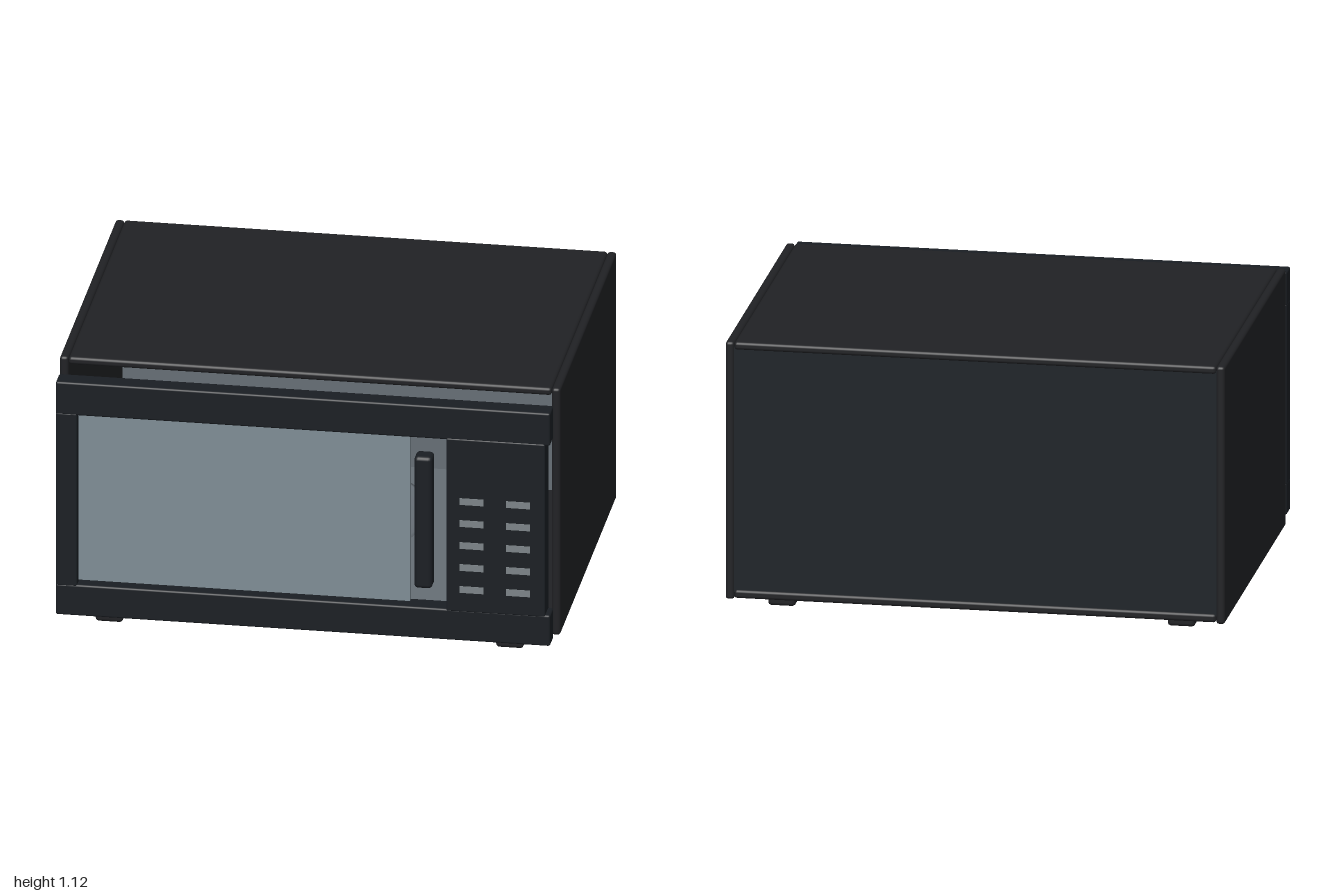
import * as THREE from 'three';
import { RoundedBoxGeometry } from 'three/addons/geometries/RoundedBoxGeometry.js';

const paint = (color) => new THREE.MeshStandardMaterial({ color });

export function createModel() {
  const model = new THREE.Group();
  const casing = paint(0x202124);
  const trim = paint(0x1a1e23);
  const rear = paint(0x1c2227);
  const lining = paint(0x666e75);
  const glass = paint(0x7f8d95);
  const keys = paint(0x7d8488);

  // Box given by its limits on each axis, with optional rounded edges
  function block(parent, name, material, [x0, x1], [y0, y1], [z0, z1], radius = 0) {
    const size = [x1 - x0, y1 - y0, z1 - z0];
    const geometry = radius
      ? new RoundedBoxGeometry(...size, 2, radius)
      : new THREE.BoxGeometry(...size);
    const mesh = new THREE.Mesh(geometry, material);
    mesh.name = name;
    mesh.position.set((x0 + x1) / 2, (y0 + y1) / 2, (z0 + z1) / 2);
    parent.add(mesh);
    return mesh;
  }

  // Casing, open at the front
  const cabinet = new THREE.Group();
  cabinet.name = 'cabinet';
  model.add(cabinet);
  const depth = [-0.77, 0.61];
  block(cabinet, 'rightSidePanel', casing, [-1, -0.965], [0.06, 1.12], depth, 0.012);
  block(cabinet, 'leftSidePanel', casing, [0.965, 1], [0.06, 1.12], depth, 0.012);
  block(cabinet, 'topPanel', casing, [-0.965, 0.965], [1.088, 1.12], depth, 0.012);
  block(cabinet, 'bottomPanel', casing, [-0.965, 0.965], [0.065, 0.1], depth, 0.012);
  block(cabinet, 'backPanel', rear, [-0.967, 0.967], [0.09, 1.1], [-0.762, -0.735]);

  // Cooking chamber
  const chamber = new THREE.Group();
  chamber.name = 'chamber';
  model.add(chamber);
  block(chamber, 'chamberBack', lining, [-0.965, 0.965], [0.1, 1.088], [-0.735, -0.715]);
  block(chamber, 'chamberFloor', lining, [-0.965, 0.57], [0.1, 0.16], [-0.715, 0.58]);
  const plateProfile = [[0, 0.185], [0.42, 0.185], [0.5, 0.205], [0.51, 0.215], [0.495, 0.217], [0.42, 0.2], [0, 0.2]]
    .map(([r, y]) => new THREE.Vector2(r, y));
  const turntable = new THREE.Mesh(new THREE.LatheGeometry(plateProfile, 48), lining);
  turntable.name = 'turntable';
  turntable.position.set(-0.15, 0, -0.1);
  chamber.add(turntable);
  const hub = new THREE.Mesh(new THREE.CylinderGeometry(0.08, 0.08, 0.03, 24), trim);
  hub.name = 'turntableHub';
  hub.position.set(-0.15, 0.172, -0.1);
  chamber.add(hub);

  // Door frame standing clear of the casing
  const door = new THREE.Group();
  door.name = 'door';
  model.add(door);
  const frameZ = [0.683, 0.768];
  block(door, 'doorTopRail', trim, [-0.99, 0.985], [0.94, 1.08], frameZ, 0.008);
  block(door, 'doorBottomRail', trim, [-0.99, 0.985], [0.08, 0.212], frameZ, 0.008);
  block(door, 'doorStile', trim, [-0.99, -0.905], [0.205, 0.947], frameZ, 0.006);
  block(door, 'controlPanel', trim, [0.57, 0.965], [0.205, 0.947], [0.681, 0.77], 0.006);
  block(door, 'window', glass, [-0.905, 0.42], [0.222, 0.935], [0.71, 0.735]);
  block(door, 'handle', trim, [0.442, 0.514], [0.295, 0.86], [0.7, 0.776], 0.016);

  // Two columns of keys
  for (const x of [0.672, 0.858]) {
    for (let row = 0; row < 5; row++) {
      const y = 0.302 + row * 0.0945;
      block(door, 'key', keys, [x - 0.048, x + 0.048], [y - 0.014, y + 0.014], [0.765, 0.773]);
    }
  }

  // Feet
  for (const x of [-0.8, 0.8]) {
    for (const z of [-0.575, 0.575]) {
      block(model, 'foot', casing, [x - 0.055, x + 0.055], [0, 0.085], [z - 0.055, z + 0.055], 0.014);
    }
  }
  return model;
}
